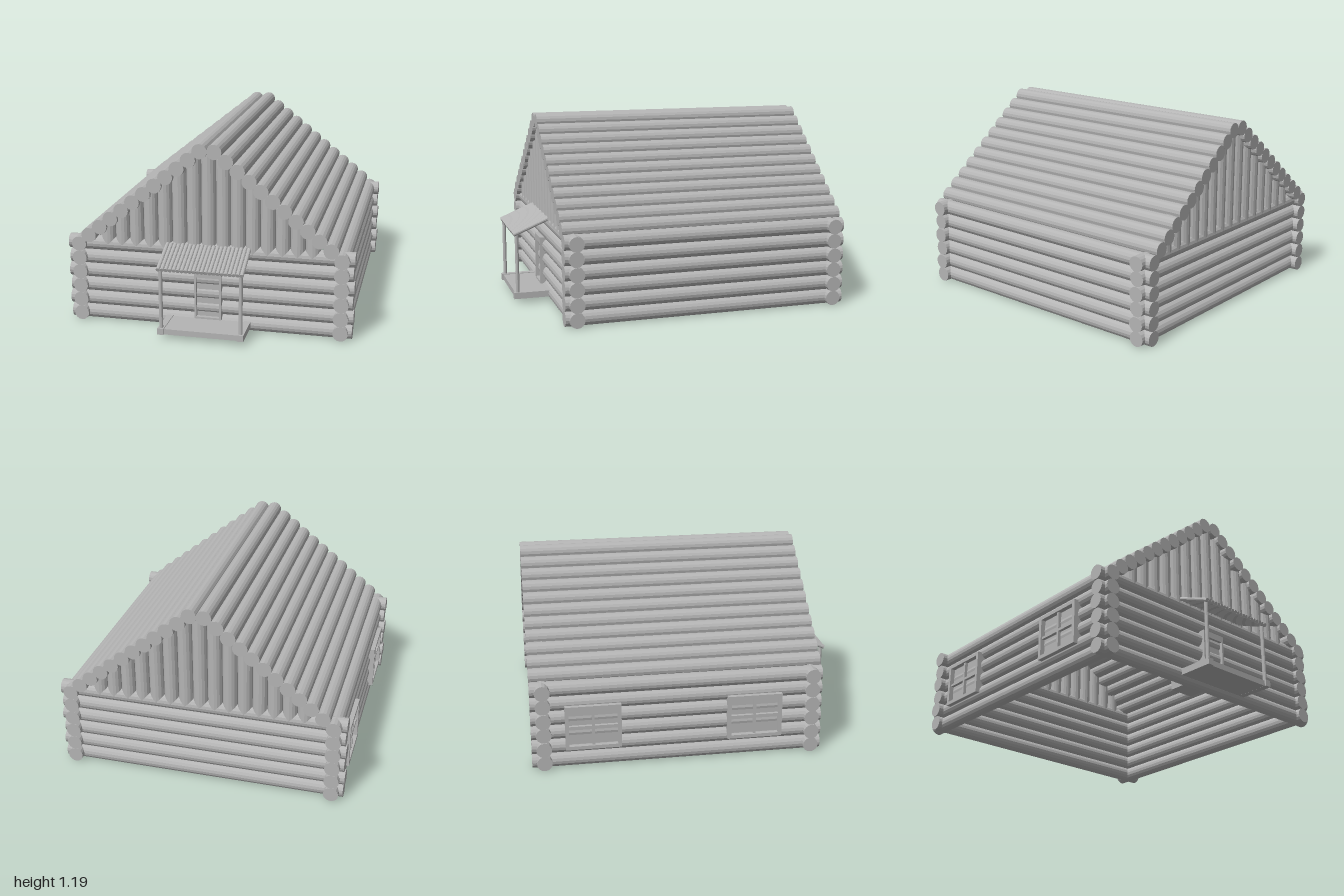
import * as THREE from 'three';

const wood = new THREE.MeshStandardMaterial({ color: 0xb4b4b4, flatShading: true });
wood.name = 'grey wood';

const R = 0.047, FRONT = 0.8, BACK = -1;

export function createModel() {
  const model = new THREE.Group();
  model.name = 'logCabin';

  const group = (name) => {
    const g = new THREE.Group();
    g.name = name;
    model.add(g);
    return g;
  };
  const add = (parent, name, geometry, x = 0, y = 0, z = 0) => {
    const m = new THREE.Mesh(geometry, wood);
    m.name = name;
    m.position.set(x, y, z);
    parent.add(m);
    return m;
  };
  const box = (parent, name, w, h, d, x, y, z) =>
    add(parent, name, new THREE.BoxGeometry(w, h, d), x, y, z);
  // A log between two points
  const log = (parent, name, a, b, r = R, sides = 16) => {
    const from = new THREE.Vector3(...a), to = new THREE.Vector3(...b);
    const dir = to.clone().sub(from);
    const m = add(parent, name, new THREE.CylinderGeometry(r, r, dir.length(), sides));
    m.position.copy(from).add(to).multiplyScalar(0.5);
    m.quaternion.setFromUnitVectors(new THREE.Vector3(0, 1, 0), dir.normalize());
    return m;
  };
  // Rectangular frame with a hole, facing +z
  const frame = (w, h, d, border) => {
    const rect = (Kind, a, b) => new Kind().moveTo(-a, -b).lineTo(a, -b).lineTo(a, b).lineTo(-a, b).closePath();
    const s = rect(THREE.Shape, w / 2, h / 2);
    s.holes.push(rect(THREE.Path, w / 2 - border, h / 2 - border));
    return new THREE.ExtrudeGeometry(s, { depth: d, bevelEnabled: false });
  };

  // Four log walls, crossing at the corners
  const walls = group('walls');
  for (let i = 0; i < 6; i++) {
    const y = R + i * 0.0922;
    const half = i % 2 ? 0.902 : 0.895;
    for (const z of [0.733, -0.925]) log(walls, 'crossLog', [-half, y, z], [half, y, z]);
    for (const s of [-1, 1]) log(walls, 'sideLog', [s * 0.826, y, BACK], [s * 0.826, y, FRONT]);
  }

  // Roof slopes
  const roof = group('roof');
  const roofLine = (x) => 1.14 - (Math.abs(x) - 0.045) * 0.797;
  for (let i = 0; i < 11; i++) {
    const x = 0.045 + i * 0.0715;
    for (const s of [-1, 1]) log(roof, 'roofLog', [s * x, roofLine(x), BACK], [s * x, roofLine(x), FRONT]);
  }

  // Upright logs in both gables
  const gables = group('gables');
  for (let k = -7; k <= 7; k++) {
    const x = k * 0.092;
    const top = Math.min(roofLine(x) - 0.01, 1.12);
    for (const z of [0.733, -0.925]) log(gables, 'gableLog', [x, 0.51, z], [x, top, z]);
  }

  // Door set through the front wall
  const door = group('door');
  box(door, 'doorBlock', 0.17, 0.31, 0.27, 0, 0.225, 0.635);
  add(door, 'doorFrame', frame(0.17, 0.31, 0.025, 0.012), 0, 0.225, 0.77);
  box(door, 'doorLintel', 0.15, 0.03, 0.025, 0, 0.356, 0.7825);

  // Two windows set through the right wall
  for (const z of [-0.625, 0.37]) {
    const w = group('window');
    w.position.set(-0.87, 0.27, z);
    w.rotation.y = -Math.PI / 2;
    box(w, 'windowBlock', 0.34, 0.28, 0.19, 0, 0, -0.095);
    add(w, 'windowFrame', frame(0.34, 0.28, 0.03, 0.022));
    box(w, 'uprightBar', 0.016, 0.25, 0.02, 0, 0, 0.01);
    box(w, 'crossBar', 0.31, 0.016, 0.02, 0, 0, 0.01);
  }

  // Porch floor, posts and roof of thin poles
  const porch = group('porch');
  box(porch, 'porchFloor', 0.47, 0.035, 0.24, 0, 0.048, 0.87);
  for (const s of [-1, 1]) {
    box(porch, 'porchSideBeam', 0.04, 0.04, 0.26, s * 0.248, 0.05, 0.87);
    log(porch, 'porchPost', [s * 0.248, 0.06, 0.975], [s * 0.248, 0.455, 0.975], 0.012, 10);
  }
  for (let i = 0; i < 22; i++) {
    const x = -0.257 + i * 0.02448;
    log(porch, 'porchRoofPole', [x, 0.541, 0.77], [x, 0.448, 0.996], 0.0125, 10);
  }
  return model;
}
